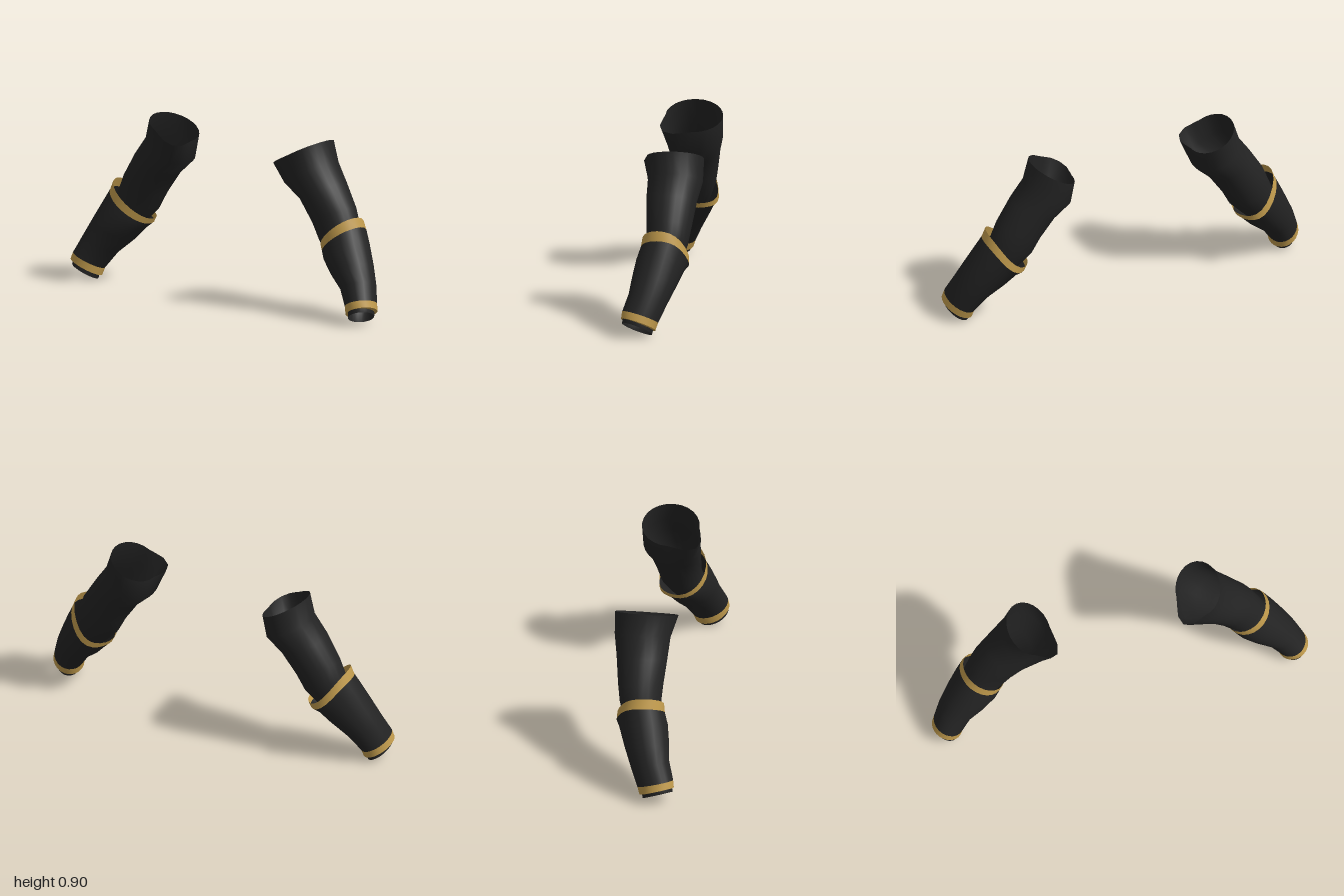
import * as THREE from 'three';

const SEG = 24;

// Cross-section: outer and inner points (x, y), front and back z,
// tilt = rise at the front / fall at the back, drop = extra dip at the back,
// corner = bulge towards the inner front.
function ring(ox, oy, ix, iy, zf, zb, tilt = 0, drop = 0, corner = 0) {
  const points = [];
  for (let j = 0; j < SEG; j++) {
    const t = (j / SEG) * Math.PI * 2;
    let c = Math.cos(t), s = Math.sin(t);
    const dip = drop * Math.pow(Math.max(0, -s), 3);
    if (c < 0 && s > 0) {
      const k = 1 + corner * Math.pow(Math.sin(2 * t), 2);
      c *= k;
      s *= k;
    }
    points.push([
      (ox + ix) / 2 + (c * (ox - ix)) / 2,
      (oy + iy) / 2 + (c * (oy - iy)) / 2 + tilt * s - dip,
      (zf + zb) / 2 + (s * (zf - zb)) / 2,
    ]);
  }
  return points;
}

// Skin a row of cross-sections, listed from top to bottom
function loft(name, rings, side, material) {
  const pos = [], index = [];
  rings.forEach((r) => r.forEach(([x, y, z]) => pos.push(x * side, y, z)));
  for (let i = 0; i < rings.length - 1; i++) {
    for (let j = 0; j < SEG; j++) {
      const k = (j + 1) % SEG;
      const a = i * SEG + j, b = i * SEG + k, c = a + SEG, d = b + SEG;
      if (side > 0) index.push(a, b, c, b, d, c);
      else index.push(a, c, b, b, c, d);
    }
  }
  const geometry = new THREE.BufferGeometry();
  geometry.setAttribute('position', new THREE.Float32BufferAttribute(pos, 3));
  geometry.setIndex(index);
  geometry.computeVertexNormals();
  const mesh = new THREE.Mesh(geometry, material);
  mesh.name = name;
  return mesh;
}

export function createModel() {
  const black = new THREE.MeshStandardMaterial({ color: 0x232323, side: THREE.DoubleSide });
  black.name = 'black cloth';
  const gold = new THREE.MeshStandardMaterial({ color: 0xc09a4c, side: THREE.DoubleSide });
  gold.name = 'gold trim';

  // Sleeve, from the shoulder opening to the elbow, on inside the bracer to the wrist
  const sleeve = [
    ring(0.565, 0.9, 0.337, 0.78, 0.11, -0.19, 0, 0, 0.42),
    ring(0.6, 0.79, 0.36, 0.66, 0.1, -0.187, 0, 0, 0.15),
    ring(0.67, 0.69, 0.44, 0.585, 0.1, -0.165),
    ring(0.745, 0.57, 0.52, 0.47, 0.09, -0.145),
    ring(0.778, 0.49, 0.565, 0.385, 0.085, -0.13),
    ring(0.815, 0.4, 0.635, 0.31, 0.09, -0.1),
    ring(0.93, 0.21, 0.79, 0.16, 0.14, -0.02, 0.02),
    ring(0.98, 0.11, 0.855, 0.06, 0.178, 0.02, 0.028),
    ring(0.985, 0.07, 0.865, 0.01, 0.187, 0.03, 0.027),
  ];

  // Bracer edges shared by the cloth and its trims
  const rimTop = ring(0.803, 0.53, 0.588, 0.34, 0.105, -0.138, 0.02, 0.04);
  const rimLow = ring(0.822, 0.482, 0.602, 0.312, 0.112, -0.14, 0.015, 0.04);
  const wristTop = ring(0.988, 0.132, 0.836, 0.066, 0.187, 0.0, 0.028);
  const wristLow = ring(1.0, 0.097, 0.845, 0.028, 0.192, 0.012, 0.028);
  const wristLip = ring(0.983, 0.088, 0.86, 0.034, 0.182, 0.025, 0.028);
  const bracer = [
    rimLow,
    ring(0.86, 0.41, 0.628, 0.285, 0.132, -0.12, 0.01, 0.02),
    ring(0.91, 0.31, 0.69, 0.22, 0.147, -0.085, 0.02),
    ring(0.953, 0.22, 0.775, 0.15, 0.158, -0.042, 0.025),
    wristTop,
  ];

  const model = new THREE.Group();
  model.name = 'pair of sleeves';
  for (const side of [1, -1]) {
    const arm = new THREE.Group();
    arm.name = side > 0 ? 'leftArm' : 'rightArm';
    arm.add(
      loft('sleeve', sleeve, side, black),
      loft('bracer', bracer, side, black),
      loft('elbowTrim', [rimTop, rimLow], side, gold),
      loft('wristTrim', [wristTop, wristLow], side, gold),
      loft('wristLip', [wristLow, wristLip], side, gold),
    );
    model.add(arm);
  }
  return model;
}
